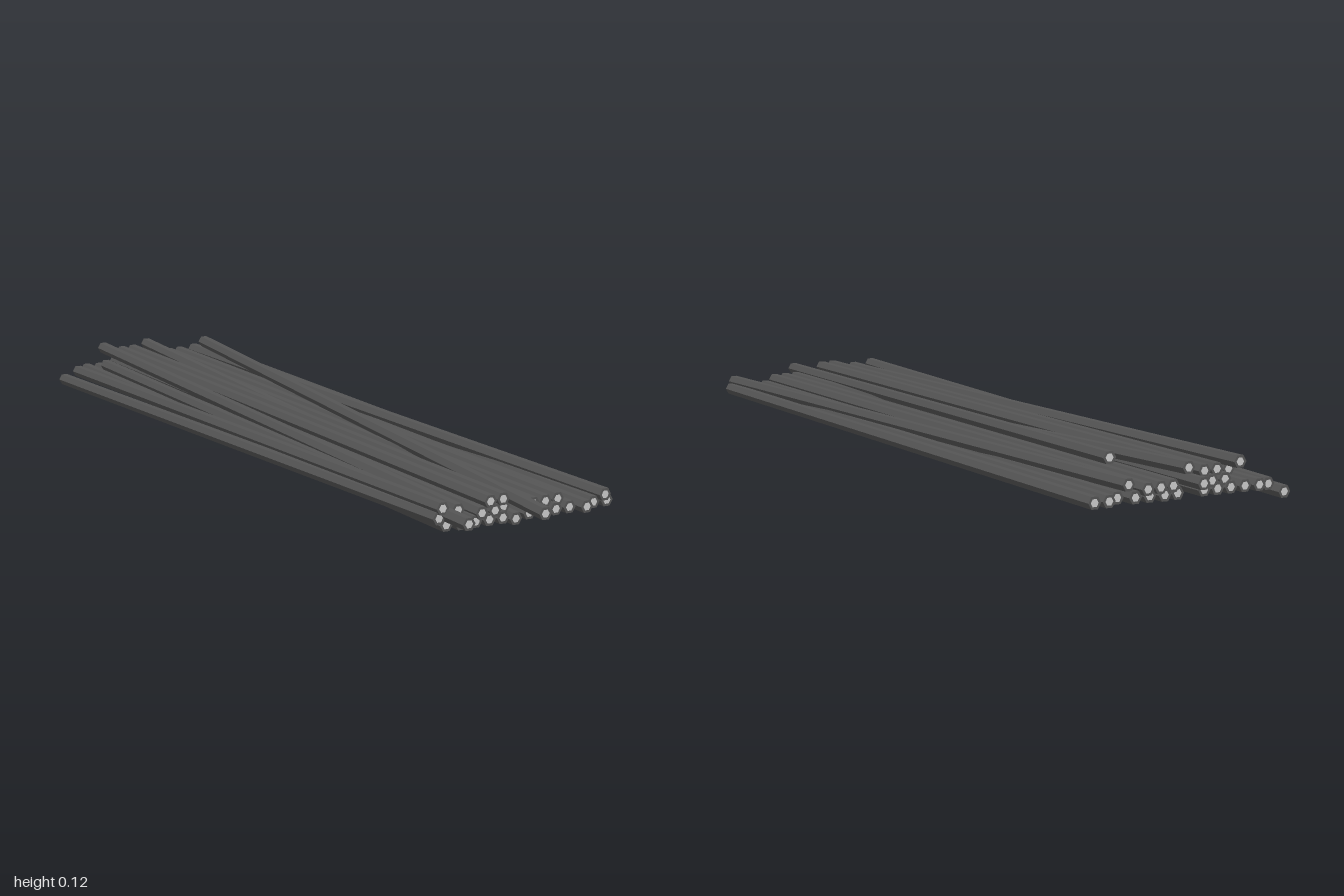
import * as THREE from 'three';

const LENGTH = 1.88, RADIUS = 0.0155, CORE = 0.0095;

export function createModel() {
  const model = new THREE.Group();
  model.name = 'rodPile';

  const shellMat = new THREE.MeshStandardMaterial({ color: 0x555555, flatShading: true });
  const coreMat = new THREE.MeshStandardMaterial({ color: 0xcccccc, flatShading: true });

  // Shared hexagonal pieces, with corners pointing to the sides
  const shaftGeo = new THREE.CylinderGeometry(RADIUS, RADIUS, LENGTH, 6, 1, true, Math.PI / 2);
  shaftGeo.rotateX(Math.PI / 2);
  const rimGeo = new THREE.RingGeometry(CORE, RADIUS, 6, 1);
  const coreGeo = new THREE.CircleGeometry(CORE, 6);

  // One rod from its front end to its back end
  function addRod(name, front, back) {
    const a = new THREE.Vector3(...front), b = new THREE.Vector3(...back);
    const rod = new THREE.Group();
    rod.name = name;
    const shaft = new THREE.Mesh(shaftGeo, shellMat);
    shaft.name = 'shaft';
    rod.add(shaft);
    for (const s of [1, -1]) {
      const rim = new THREE.Mesh(rimGeo, shellMat);
      const core = new THREE.Mesh(coreGeo, coreMat);
      rim.name = 'endRim';
      core.name = 'endCore';
      for (const part of [rim, core]) {
        part.position.z = s * LENGTH / 2;
        if (s < 0) part.rotation.y = Math.PI;
        rod.add(part);
      }
    }
    rod.position.copy(a).add(b).multiplyScalar(0.5);
    rod.quaternion.setFromUnitVectors(new THREE.Vector3(0, 0, 1), a.sub(b).normalize());
    model.add(rod);
  }

  // Straight rods in stacked layers: [x, z of the back end]
  const layers = [
    { name: 'bottomRod', y: 0.037, rods: [
      [-0.176, -0.985], [-0.142, -0.98], [-0.106, -0.98], [-0.072, -0.98], [-0.038, -0.98],
      [0.032, -0.985], [0.067, -0.99], [0.101, -0.985], [0.136, -0.985], [0.171, -0.97],
      [0.206, -0.995], [0.241, -0.995]] },
    { name: 'middleRod', y: 0.055, rods: [
      [-0.094, -0.975], [-0.058, -0.98], [-0.024, -1], [0.046, -0.99], [0.08, -0.995], [0.115, -1]] },
    { name: 'topRod', y: 0.078, rods: [[-0.073, -0.975], [-0.038, -0.98]] },
  ];
  for (const { name, y, rods } of layers)
    for (const [x, z] of rods) addRod(name, [x, y, z + LENGTH], [x, y, z]);

  // Loose rods lying askew: front end, back end
  const loose = [
    [[-0.197, 0.055, 0.9], [-0.245, 0.015, -0.98]],
    [[-0.174, 0.059, 0.98], [-0.155, 0.06, -0.9]],
    [[-0.191, 0.077, 0.905], [-0.206, 0.035, -0.975]],
    [[-0.147, 0.066, 0.895], [-0.125, 0.091, -0.985]],
    [[0.002, 0.064, 1], [0.131, 0.104, -0.875]],
    [[0.002, 0.027, 0.89], [0.008, 0.09, -0.99]],
    [[0.226, 0.055, 0.9], [0.149, 0.064, -0.98]],
  ];
  for (const [front, back] of loose) addRod('looseRod', front, back);

  return model;
}
